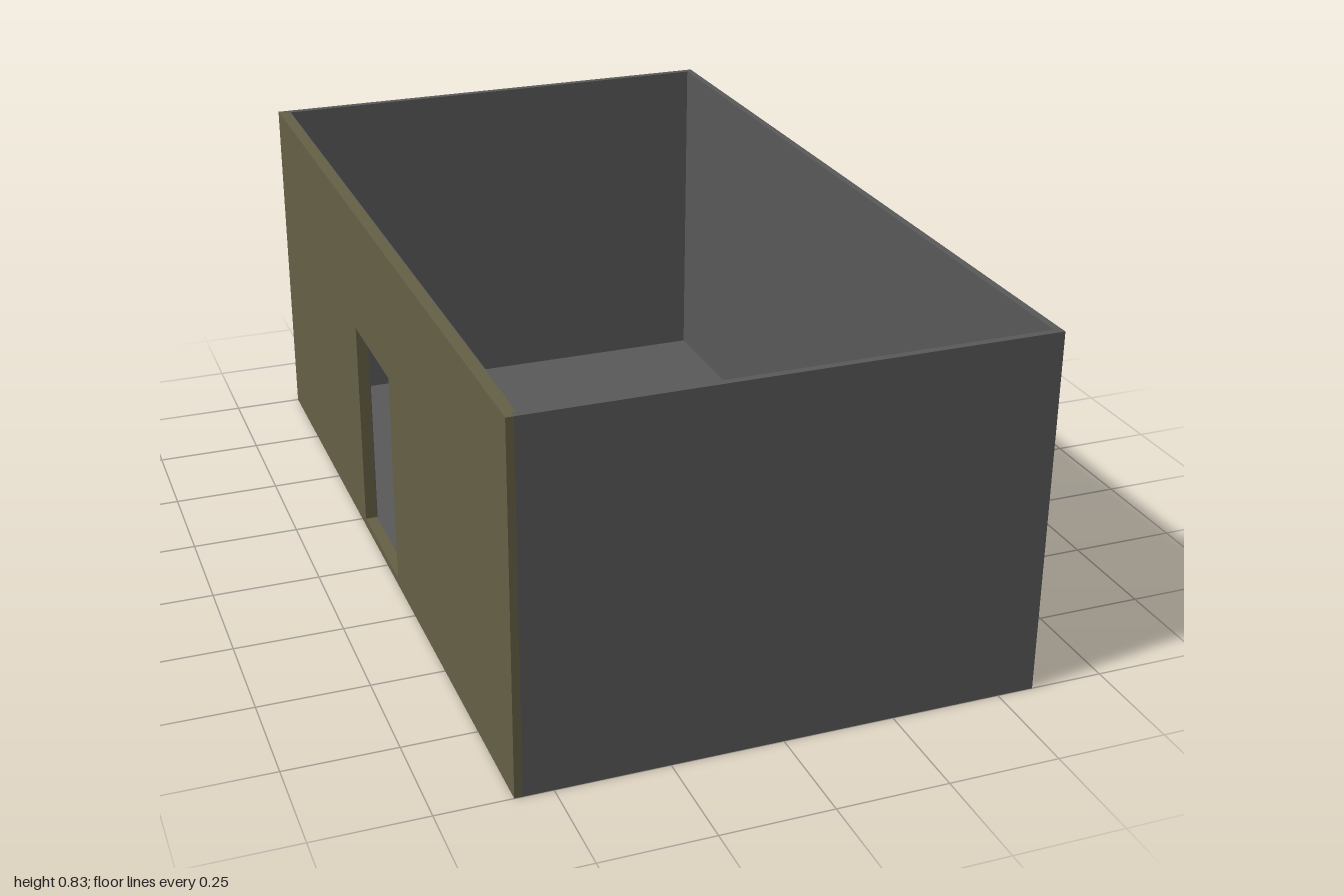
import * as THREE from 'three';

const W = 0.5833, D = 1, H = 0.8333, T = 0.0167; // half width, half depth, height, wall thickness

export function createModel() {
  const room = new THREE.Group();
  room.name = 'openRoom';
  const grey = new THREE.MeshStandardMaterial({ color: 0x595959 });
  grey.name = 'wallGrey';
  const olive = new THREE.MeshStandardMaterial({ color: 0x656046 });
  olive.name = 'doorWallOlive';

  // Box given by its minimum and maximum corners
  const box = (name, x0, x1, y0, y1, z0, z1) => {
    const geo = new THREE.BoxGeometry(x1 - x0, y1 - y0, z1 - z0);
    geo.translate((x0 + x1) / 2, (y0 + y1) / 2, (z0 + z1) / 2);
    const mesh = new THREE.Mesh(geo, grey);
    mesh.name = name;
    room.add(mesh);
  };

  // Upright slab along z with the doorway cut out, from x0 to x1
  const doorSlab = (name, x0, x1, y0, halfLength, material) => {
    const shape = new THREE.Shape();
    const rect = (path, a0, b0, a1, b1) => {
      path.moveTo(a0, b0);
      path.lineTo(a1, b0);
      path.lineTo(a1, b1);
      path.lineTo(a0, b1);
      path.closePath();
      return path;
    };
    rect(shape, -halfLength, y0, halfLength, H);
    // The shape's horizontal axis becomes -z after the turn
    shape.holes.push(rect(new THREE.Path(), -0.1, T + 0.003, 0.21, 0.53));
    const geo = new THREE.ExtrudeGeometry(shape, { depth: x1 - x0, bevelEnabled: false });
    geo.rotateY(Math.PI / 2).translate(x0, 0, 0);
    const mesh = new THREE.Mesh(geo, material);
    mesh.name = name;
    room.add(mesh);
  };

  // Floor and the three plain walls
  box('floor', -W + T, W - T, 0, T, -D + T, D - T);
  box('leftWall', W - T, W, 0, H, -D, D);
  box('frontWall', -W + T, W - T, 0, H, D - T, D);
  box('backWall', -W + T, W - T, 0, H, -D, -D + T);

  // Doorway wall: outer leaf, inner leaf between the end walls, grey lining
  doorSlab('doorWallOuter', -W, -W + T, 0, D, olive);
  doorSlab('doorWallInner', -W + T, -0.556, T, D - T, olive);
  doorSlab('doorWallLining', -0.556, -0.554, T, D - T, grey);

  return room;
}
